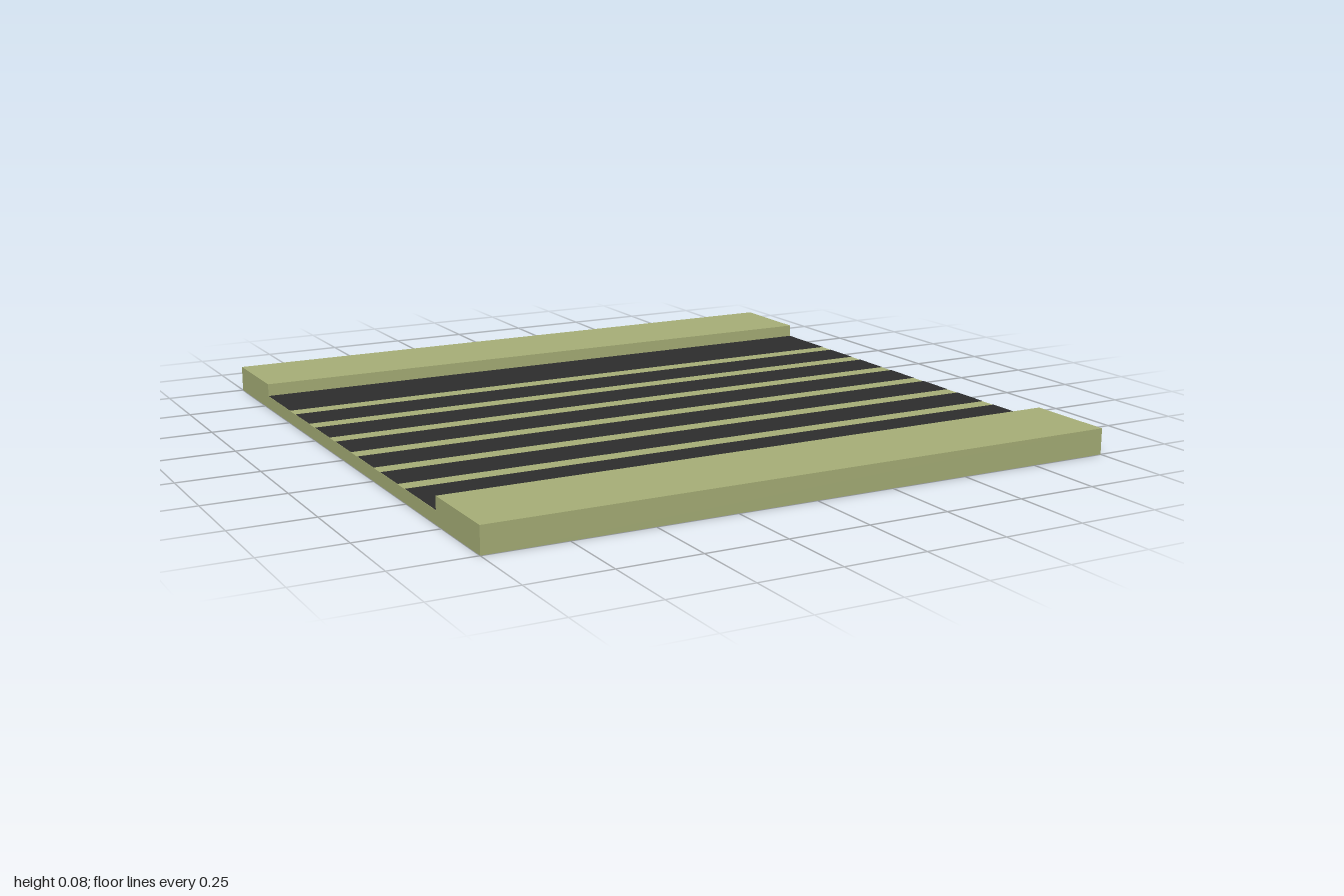
import * as THREE from 'three';

const SIZE = 2, HEIGHT = 0.08, FLOOR = 0.04;
const CHANNEL = 0.713;              // half width of the sunken channel
const PITCH = 0.186, STRIPE = 0.053; // painted stripes across the channel

export function createModel() {
  const model = new THREE.Group();
  model.name = 'stripedRoadTile';
  const green = new THREE.MeshStandardMaterial({ color: 0xa8b078 });
  const dark = new THREE.MeshStandardMaterial({ color: 0x2d2d2d });

  // Slab with a channel along x, extruded from its cross-section
  const h = SIZE / 2;
  const profile = new THREE.Shape([
    [-h, 0], [h, 0], [h, HEIGHT], [CHANNEL, HEIGHT],
    [CHANNEL, FLOOR], [-CHANNEL, FLOOR], [-CHANNEL, HEIGHT], [-h, HEIGHT],
  ].map(([z, y]) => new THREE.Vector2(z, y)));
  const slabGeometry = new THREE.ExtrudeGeometry(profile, { depth: SIZE, bevelEnabled: false });
  slabGeometry.translate(0, 0, -h).rotateY(Math.PI / 2);
  const slab = new THREE.Mesh(slabGeometry, green);
  slab.name = 'slab';
  model.add(slab);

  // Dark road bands between six bare stripes, a hair above the channel floor
  const road = new THREE.Group();
  road.name = 'road';
  let start = -CHANNEL;
  for (let i = 0; i <= 6; i++) {
    const stripe = (i - 2.5) * PITCH;
    const end = i < 6 ? stripe - STRIPE / 2 : CHANNEL;
    const geometry = new THREE.PlaneGeometry(SIZE, end - start).rotateX(-Math.PI / 2);
    const band = new THREE.Mesh(geometry, dark);
    band.name = `roadBand${i + 1}`;
    band.position.set(0, FLOOR + 0.001, (start + end) / 2);
    road.add(band);
    start = stripe + STRIPE / 2;
  }
  model.add(road);

  return model;
}
